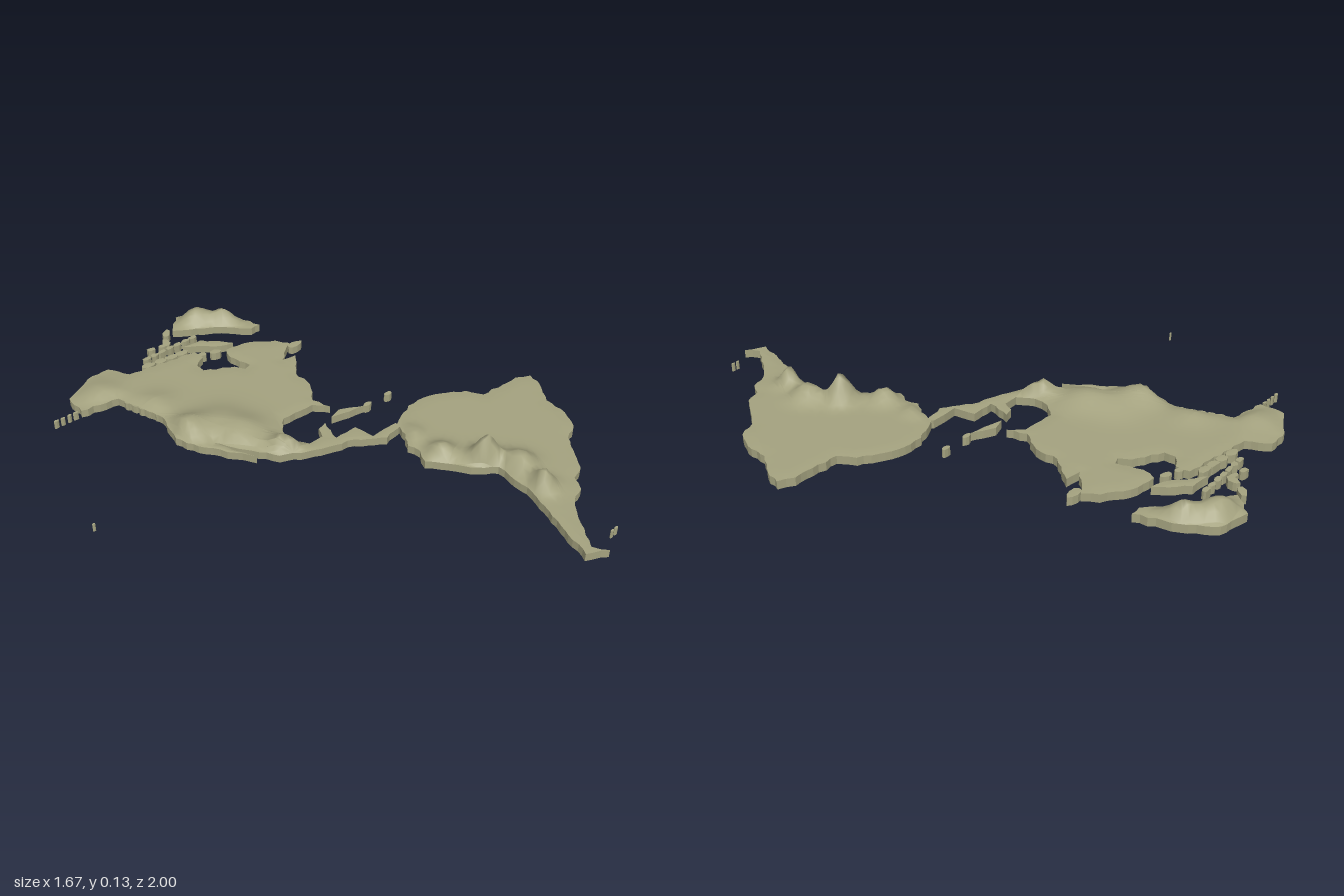
import * as THREE from 'three';
import { mergeVertices } from 'three/addons/utils/BufferGeometryUtils.js';

const BASE = 0.03; // height of the coastal cliffs

// Main capes and bays of each coast as x, z pairs in hundredths
const COASTS = {
  northContinent: [
    -51,-82, -39,-88, -30,-88, -26,-80, 1,-75, 1,-70, -4,-67, -4,-63, 6,-57, 8,-53, 11,-54, 9,-63, 11,-68, 21,-66,
    29,-60, 32,-55, 22,-48, 28,-47, 20,-38, 19,-29, 13,-21, 15,-14, 11,-19, -2,-20, -7,-15, -8,-9, -5,-3, 1,-3,
    3,-7, 7,-8, 4,1, 13,1, 14,9, 25,9, 26,11, 17,13, 8,6, -4,2, -17,-5, -27,-22, -29,-26, -23,-10, -34,-28,
    -37,-37, -33,-50, -38,-70, -52,-73],
  southContinent: [
    25,10, 36,5, 46,6, 58,13, 61,19, 78,20, 83,23, 81,29, 75,37, 74,46, 70,53, 63,56, 53,69, 47,71, 44,76, 38,78,
    32,84, 24,95, 27,100, 20,96, 24,85, 31,66, 33,50, 26,44, 17,31, 20,26, 19,21, 23,16],
  iceIsland: [4,-93, 11,-100, 22,-97, 28,-87, 32,-73, 28,-73, 20,-82, 8,-90],
  arcticIsland: [0,-81, 8,-80, 16,-70, 9,-73],
  tropicalIsland: [11,-9, 16,-10.5, 24,-6, 18,-7],
};

// Island chains: start x, z, end x, z, number of islands, half length (hundredths)
const CHAINS = [
  [-17,-80,-3,-78,4,2.6], [-15,-84,7,-84,7,1.9], [-10,-88,-5,-87,2,1.8], [-3,-88,1,-93,2,2.8], [2,-72,7,-70,2,2.2],
  [-62,-74,-54,-73.5,4,1], [-37,-66,-33,-53,5,1.4], [26,-6,36,-5.5,2,1.8], [33,-53,33,-53,1,3.2],
  [35,95,37,95,2,0.8], [-83,-19.5,-83,-19.5,1,0.6]];

// Hills: x, z, radius, rise
const HILLS = [
  [-0.31,-0.38,0.07,0.042], [-0.2,-0.34,0.09,0.025], [-0.17,-0.23,0.08,0.032], [-0.13,-0.07,0.055,0.052],
  [-0.3,-0.58,0.07,0.018], [-0.4,-0.77,0.07,0.02], [0.24,0.17,0.04,0.025], [0.24,0.32,0.05,0.045],
  [0.33,0.44,0.047,0.1], [0.39,0.54,0.055,0.055], [0.36,0.66,0.04,0.07], [0.16,-0.93,0.06,0.05], [0.24,-0.85,0.05,0.05]];

let seed;
const random = () => (seed = (seed * 16807) % 2147483647) / 2147483647;

// Points on the map plane: x and -z, counter-clockwise seen from above
function toPoints(list) {
  const pts = [];
  for (let i = 0; i < list.length; i += 2) pts.push(new THREE.Vector2(list[i] / 100, -list[i + 1] / 100));
  return THREE.ShapeUtils.isClockWise(pts) ? pts.reverse() : pts;
}

// Break each long stretch of coast with small bays and capes
function roughen(pts) {
  const out = [];
  pts.forEach((a, i) => {
    const d = pts[(i + 1) % pts.length].clone().sub(a), length = d.length();
    const steps = Math.max(1, Math.round(length / 0.025));
    out.push(a);
    for (let k = 1; k < steps; k++) {
      const t = k / steps, s = ((random() - 0.5) * 0.01) / length;
      out.push(new THREE.Vector2(a.x + d.x * t - d.y * s, a.y + d.y * t + d.x * s));
    }
  });
  return out;
}

function coastDistance(p, coast) {
  let best = Infinity;
  coast.forEach((a, i) => {
    const b = coast[(i + 1) % coast.length];
    const dx = b.x - a.x, dy = b.y - a.y;
    const t = THREE.MathUtils.clamp(((p.x - a.x) * dx + (p.y - a.y) * dy) / (dx * dx + dy * dy), 0, 1);
    best = Math.min(best, Math.hypot(p.x - a.x - dx * t, p.y - a.y - dy * t));
  });
  return best;
}

// Terrain falls to cliff height at the coast
function heightAt(p, coast) {
  let rise = 0.003;
  for (const [x, z, r, h] of HILLS) rise += h * Math.exp(-((p.x - x) ** 2 + (p.y + z) ** 2) / (r * r));
  return BASE + rise * Math.min(1, coastDistance(p, coast) / 0.035);
}

// Halve the longest edge until the triangle is small
function split(a, b, c, out) {
  const ab = a.distanceTo(b), bc = b.distanceTo(c), ca = c.distanceTo(a);
  const longest = Math.max(ab, bc, ca);
  if (longest < 0.035) out.push(a, b, c);
  else if (longest === bc) split(b, c, a, out);
  else if (longest === ca) split(c, a, b, out);
  else {
    const m = a.clone().add(b).multiplyScalar(0.5);
    split(a, m, c, out);
    split(m, b, c, out);
  }
}

function geometryFrom(positions) {
  const g = new THREE.BufferGeometry();
  g.setAttribute('position', new THREE.Float32BufferAttribute(positions, 3));
  return g;
}

// One land mass: smooth terrain on top, sharp cliffs and a flat underside
function makeLand(name, coast, material) {
  const top = [], sides = [], tris = [];
  for (const [a, b, c] of THREE.ShapeUtils.triangulateShape(coast, [])) {
    split(coast[a], coast[b], coast[c], tris);
    for (const i of [a, c, b]) sides.push(coast[i].x, 0, -coast[i].y);
  }
  for (const p of tris) top.push(p.x, heightAt(p, coast), -p.y);
  coast.forEach((a, i) => {
    const b = coast[(i + 1) % coast.length];
    for (const [p, y] of [[a, 0], [b, 0], [b, BASE], [a, 0], [b, BASE], [a, BASE]]) sides.push(p.x, y, -p.y);
  });
  const land = new THREE.Group();
  land.name = name;
  const parts = { Terrain: mergeVertices(geometryFrom(top), 1e-5), Cliffs: geometryFrom(sides) };
  for (const [part, geometry] of Object.entries(parts)) {
    geometry.computeVertexNormals();
    const mesh = new THREE.Mesh(geometry, material);
    mesh.name = name + part;
    land.add(mesh);
  }
  return land;
}

// Uneven oval island, longest along the given direction
function islandOutline(x, z, r, turn) {
  const list = [];
  for (let k = 0; k < 8; k++) {
    const a = (k / 8) * Math.PI * 2, size = r * (0.75 + random() * 0.45);
    const u = Math.cos(a) * size, v = Math.sin(a) * size * 0.55;
    list.push(x + u * Math.cos(turn) - v * Math.sin(turn), z + u * Math.sin(turn) + v * Math.cos(turn));
  }
  return toPoints(list);
}

export function createModel() {
  seed = 7;
  const group = new THREE.Group();
  group.name = 'reliefMap';
  const earth = new THREE.MeshStandardMaterial({ color: 0xa5a380 });
  earth.name = 'khaki earth';

  for (const [name, list] of Object.entries(COASTS)) group.add(makeLand(name, roughen(toPoints(list)), earth));

  // Small islands spaced along each chain
  for (const [x0, z0, x1, z1, count, r] of CHAINS) {
    const turn = Math.atan2(z1 - z0, x1 - x0);
    for (let i = 0; i < count; i++) {
      const t = i / Math.max(1, count - 1);
      const outline = islandOutline(x0 + (x1 - x0) * t, z0 + (z1 - z0) * t, r, turn);
      group.add(makeLand('smallIsland', outline, earth));
    }
  }
  return group;
}
